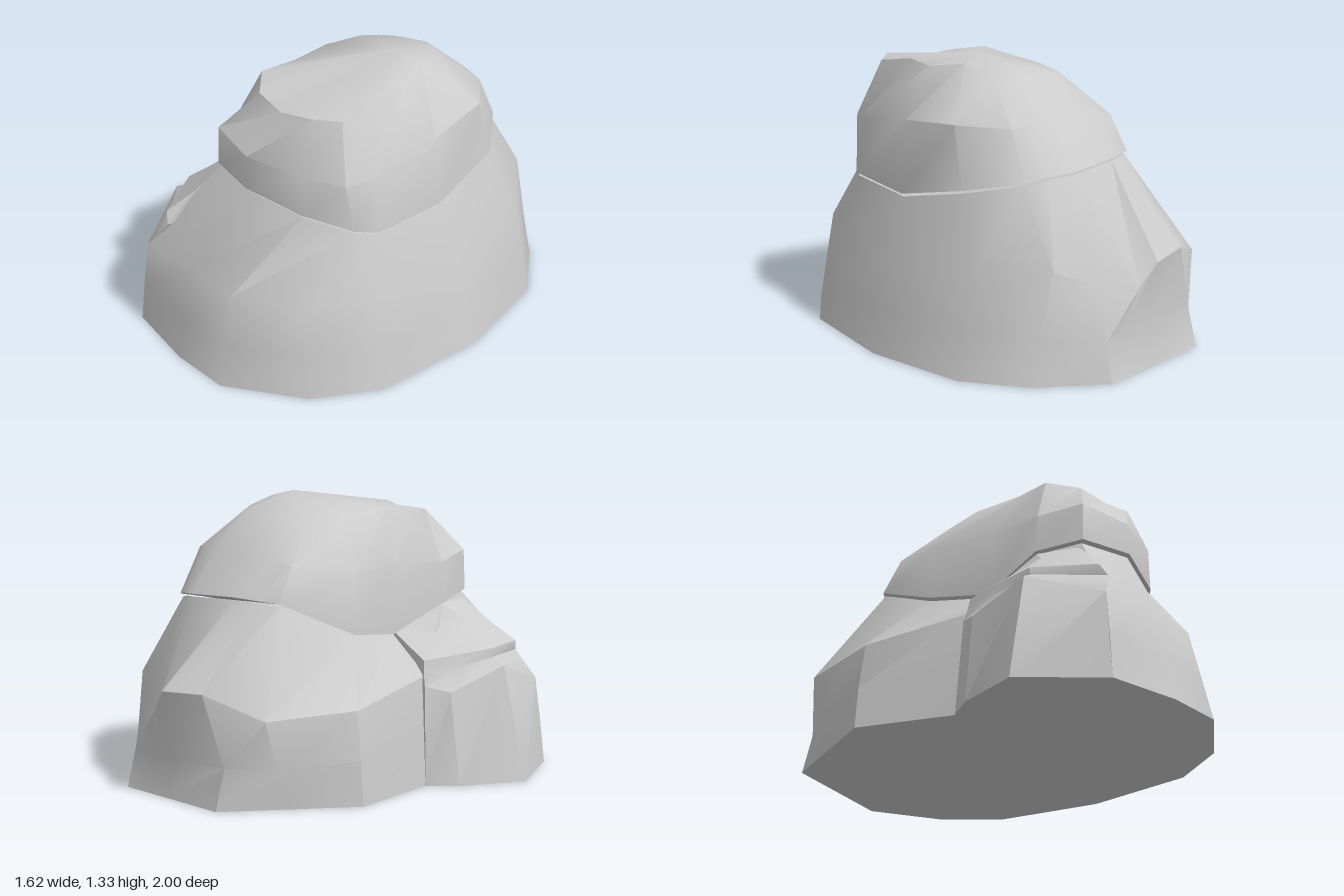
import * as THREE from 'three';
import { toCreasedNormals } from 'three/addons/utils/BufferGeometryUtils.js';

// Skins a stack of loops (each clockwise seen from above) and closes both ends with a fan.
function loft(name, rings, bottomCentre, topCentre, crease) {
  const pos = [];
  const tri = (a, b, c) => pos.push(...a, ...b, ...c);
  const n = rings[0].length;
  const last = rings[rings.length - 1];
  for (let i = 0; i < n; i++) {
    const j = (i + 1) % n;
    for (let k = 0; k < rings.length - 1; k++) {
      const a = rings[k], b = rings[k + 1];
      tri(a[j], a[i], b[i]);
      tri(a[j], b[i], b[j]);
    }
    tri(rings[0][i], rings[0][j], bottomCentre);
    tri(last[j], last[i], topCentre);
  }
  const geo = new THREE.BufferGeometry();
  geo.setAttribute('position', new THREE.Float32BufferAttribute(pos, 3));
  const mesh = new THREE.Mesh(
    toCreasedNormals(geo, crease),
    new THREE.MeshStandardMaterial({ color: 0xcccccc, side: THREE.DoubleSide })
  );
  mesh.name = name;
  return mesh;
}

// Ground outline given as x, z pairs
const ground = (pts) => pts.map(([x, z]) => [x, 0, z]);

export function createModel() {
  const group = new THREE.Group();
  group.name = 'stackedBoulders';

  // Upper boulder: rim, belly and crown loops
  const rim = [
    [-0.21, 0.87, -0.58], [-0.1, 0.88, -0.63], [0.0, 0.89, -0.67], [0.28, 0.88, -0.68],
    [0.4, 0.87, -0.63], [0.5, 0.85, -0.57], [0.63, 0.8, -0.32], [0.6, 0.71, 0.08],
    [0.52, 0.73, 0.46], [0.44, 0.75, 0.54], [0.23, 0.81, 0.64], [-0.06, 0.86, 0.66],
    [-0.31, 0.85, 0.54], [-0.37, 0.81, 0.33], [-0.31, 0.68, 0.05], [-0.35, 0.71, -0.24],
  ];
  const belly = [
    [-0.2, 1.03, -0.49], [-0.1, 1.05, -0.51], [0.02, 1.07, -0.52], [0.28, 1.08, -0.53],
    [0.38, 1.08, -0.51], [0.47, 1.07, -0.47], [0.6, 1.08, -0.25], [0.57, 1.05, 0.08],
    [0.49, 1.0, 0.44], [0.41, 0.98, 0.56], [0.22, 1.01, 0.64], [-0.06, 1.02, 0.65],
    [-0.3, 1.04, 0.54], [-0.35, 1.0, 0.33], [-0.3, 1.0, 0.06], [-0.33, 0.99, -0.22],
  ];
  const crown = [
    [-0.08, 1.22, -0.28], [0.0, 1.23, -0.32], [0.08, 1.24, -0.34], [0.25, 1.26, -0.34],
    [0.3, 1.26, -0.31], [0.35, 1.26, -0.26], [0.37, 1.3, -0.1], [0.4, 1.27, 0.09],
    [0.36, 1.28, 0.25], [0.33, 1.24, 0.47], [0.22, 1.25, 0.54], [0.03, 1.21, 0.51],
    [-0.13, 1.23, 0.45], [-0.22, 1.25, 0.31], [-0.16, 1.25, 0.14], [-0.15, 1.23, -0.1],
  ];
  group.add(loft('upperBoulder', [rim, belly, crown], [0.12, 0.78, 0], [0.24, 1.33, -0.08], 0.65));

  // Lower boulder: a rough ridge at the back, top loop tucked just under the upper rim
  const foot = ground([
    [-0.42, -0.73], [-0.24, -0.98], [0.1, -0.98], [0.28, -0.98], [0.39, -0.98], [0.66, -0.74],
    [0.81, -0.45], [0.81, 0.07], [0.65, 0.6], [0.41, 0.85], [0.02, 1.0], [-0.27, 0.94],
    [-0.61, 0.8], [-0.52, 0.4], [-0.55, 0.0], [-0.62, -0.45],
  ]);
  const waist = [
    [-0.415, 0.18, -0.78], [-0.24, 0.18, -0.93], [0.1, 0.18, -0.95], [0.27, 0.17, -0.93],
    [0.38, 0.18, -0.94], [0.61, 0.2, -0.75], [0.77, 0.2, -0.45], [0.765, 0.2, 0.07],
    [0.62, 0.2, 0.58], [0.385, 0.2, 0.83], [0.02, 0.2, 0.955], [-0.26, 0.2, 0.895],
    [-0.595, 0.2, 0.785], [-0.49, 0.2, 0.4], [-0.53, 0.2, 0.02], [-0.6, 0.2, -0.45],
  ];
  const shoulder = [
    [-0.4, 0.4, -0.83], [-0.13, 0.5, -0.96], [0.1, 0.49, -1.0], [0.19, 0.39, -0.97],
    [0.36, 0.42, -0.88], [0.54, 0.5, -0.77], [0.72, 0.43, -0.45], [0.71, 0.41, 0.07],
    [0.58, 0.43, 0.55], [0.36, 0.43, 0.8], [0.02, 0.44, 0.9], [-0.25, 0.45, 0.84],
    [-0.575, 0.42, 0.765], [-0.45, 0.5, 0.4], [-0.5, 0.5, 0.04], [-0.57, 0.42, -0.44],
  ];
  const neck = rim.map(([x, y, z]) => [0.1 + (x - 0.1) * 0.98, y - 0.015, z * 0.98]);
  group.add(loft('lowerBoulder', [foot, waist, shoulder, neck], [0.1, 0, 0], [0.12, 0.76, 0], 0.65));

  // Side ledge leaning against the lower boulder: wall, lip and sloping top
  const ledgeFoot = ground([
    [-0.4, 0.75], [-0.61, 0.8], [-0.81, 0.42], [-0.66, 0.13],
    [-0.55, 0.02], [-0.3, 0.06], [-0.3, 0.33], [-0.3, 0.52],
  ]);
  const ledgeWall = [
    [-0.4, 0.42, 0.7], [-0.575, 0.42, 0.765], [-0.67, 0.53, 0.42], [-0.6, 0.43, 0.13],
    [-0.52, 0.46, 0.04], [-0.3, 0.45, 0.06], [-0.3, 0.45, 0.33], [-0.3, 0.45, 0.52],
  ];
  const ledgeLip = [
    [-0.4, 0.55, 0.62], [-0.475, 0.55, 0.73], [-0.605, 0.565, 0.42], [-0.555, 0.53, 0.2],
    [-0.505, 0.51, 0.05], [-0.3, 0.5, 0.06], [-0.3, 0.5, 0.33], [-0.3, 0.5, 0.52],
  ];
  const ledgeTop = [
    [-0.41, 0.69, 0.62], [-0.5, 0.6, 0.7], [-0.6, 0.605, 0.41], [-0.55, 0.59, 0.23],
    [-0.495, 0.575, 0.06], [-0.3, 0.69, 0.06], [-0.36, 0.8, 0.33], [-0.3, 0.82, 0.52],
  ];
  group.add(loft('sideLedge', [ledgeFoot, ledgeWall, ledgeLip, ledgeTop], [-0.5, 0, 0.4], [-0.46, 0.715, 0.4], 0.5));

  return group;
}
